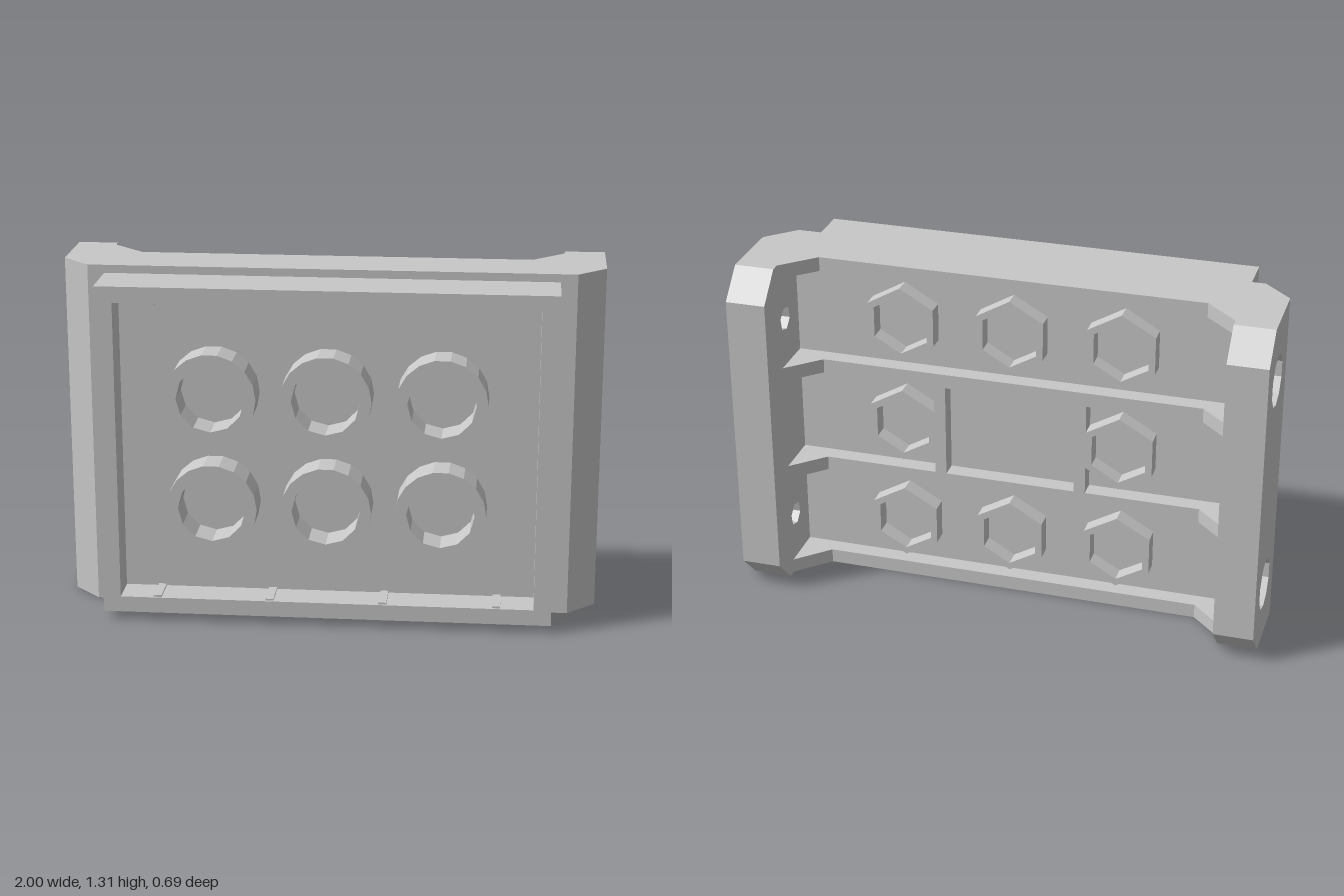
import * as THREE from 'three';

const gray = new THREE.MeshStandardMaterial({ color: 0xc8c8c8 });
gray.name = 'light gray';

// Regular polygon points, first corner at angle a
const ngon = (r, n, cx = 0, cy = 0, a = 0) =>
  Array.from({ length: n }, (_, i) => {
    const t = a + (i / n) * Math.PI * 2;
    return new THREE.Vector2(cx + r * Math.cos(t), cy + r * Math.sin(t));
  });

const rect = (x0, y0, x1, y1) => [[x0, y0], [x1, y0], [x1, y1], [x0, y1]].map(p => new THREE.Vector2(...p));

function slab(points, depth, holes = []) {
  const shape = new THREE.Shape(points);
  holes.forEach(h => shape.holes.push(new THREE.Path(h)));
  return new THREE.ExtrudeGeometry(shape, { depth, bevelEnabled: false });
}

// Outline given as [x, z], extruded upward
const upright = (xz, height) =>
  slab(xz.map(([x, z]) => new THREE.Vector2(x, -z)), height).rotateX(-Math.PI / 2);

export function createModel() {
  const model = new THREE.Group();
  model.name = 'studPanel';
  const H = 1.31, FLOOR = -0.025, RIB = -0.09, RIM = 0.055;

  const add = (name, geometry, x = 0, y = 0, z = 0) => {
    const mesh = new THREE.Mesh(geometry, gray);
    mesh.name = name;
    mesh.position.set(x, y, z);
    model.add(mesh);
  };

  // Main plate with chamfered front corners
  const plateFront = 0.133;
  add('mainPlate', upright([[-1, FLOOR], [-1, 0.03], [-0.895, plateFront], [0.895, plateFront],
    [1, 0.03], [1, FLOOR]], H));

  // Front tray: backing and raised frame
  const trayFloor = 0.215, front = 0.343;
  add('trayBacking', slab(rect(-0.833, 0.032, 0.833, 1.28), trayFloor - plateFront), 0, 0, plateFront);
  add('trayFrame', slab(rect(-0.833, 0.032, 0.833, 1.28), front - trayFloor,
    [rect(-0.768, 0.092, 0.768, 1.22)]), 0, 0, trayFloor);

  // Small ridges inside the tray's upper and lower walls
  for (const x of [-0.63, -0.21, 0.21, 0.63])
    for (const y of [0.094, 1.218])
      add('trayRidge', new THREE.BoxGeometry(0.03, 0.01, 0.12), x, y, trayFloor + 0.06);

  // Round tubes in the tray
  const tube = slab(ngon(0.167, 18), front - trayFloor - 0.003, [ngon(0.125, 12)]);
  for (const x of [-0.42, 0, 0.42])
    for (const y of [0.448, 0.868]) add('frontTube', tube, x, y, trayFloor);

  // Side arms, each with a wide bore outside and a narrow one inside
  const armOutline = [[-FLOOR, 0], [0.24, 0], [0.343, 0.105], [0.343, 1.205], [0.24, H], [-FLOOR, H]]
    .map(p => new THREE.Vector2(...p));
  const armLayer = (r, n, depth) => slab(armOutline, depth,
    [0.237, 1.075].map(y => ngon(r, n, 0.155, y, 0.3))).rotateY(Math.PI / 2);
  const outer = armLayer(0.099, 10, 0.09), inner = armLayer(0.047, 6, 0.06);
  add('leftArmOuter', outer, 0.91);
  add('leftArmInner', inner, 0.85);
  add('rightArmOuter', outer, -1);
  add('rightArmInner', inner, -0.91);

  // Horizontal ribs on the back, flared where they meet the arms
  const rib = upright([[-0.85, FLOOR], [0.85, FLOOR], [0.85, -0.205], [0.73, RIB],
    [-0.73, RIB], [-0.85, -0.205]], RIM);
  for (let i = 0; i < 4; i++) add('backRib', rib, 0, (i * (H - RIM)) / 3);

  // Hexagonal sockets around a central walled bay
  const depth = FLOOR - RIB;
  const socket = slab(ngon(0.147, 6, 0, 0, Math.PI / 2), depth, [ngon(0.118, 6, 0, 0, Math.PI / 2)]);
  for (const col of [-1, 0, 1])
    for (const row of [-1, 0, 1])
      if (col || row) add('hexSocket', socket, col * 0.42, H / 2 + row * 0.42, RIB);
  for (const side of [-1, 1])
    add('bayWall', new THREE.BoxGeometry(0.044, 0.37, depth), side * 0.272, H / 2, (FLOOR + RIB) / 2);

  return model;
}
